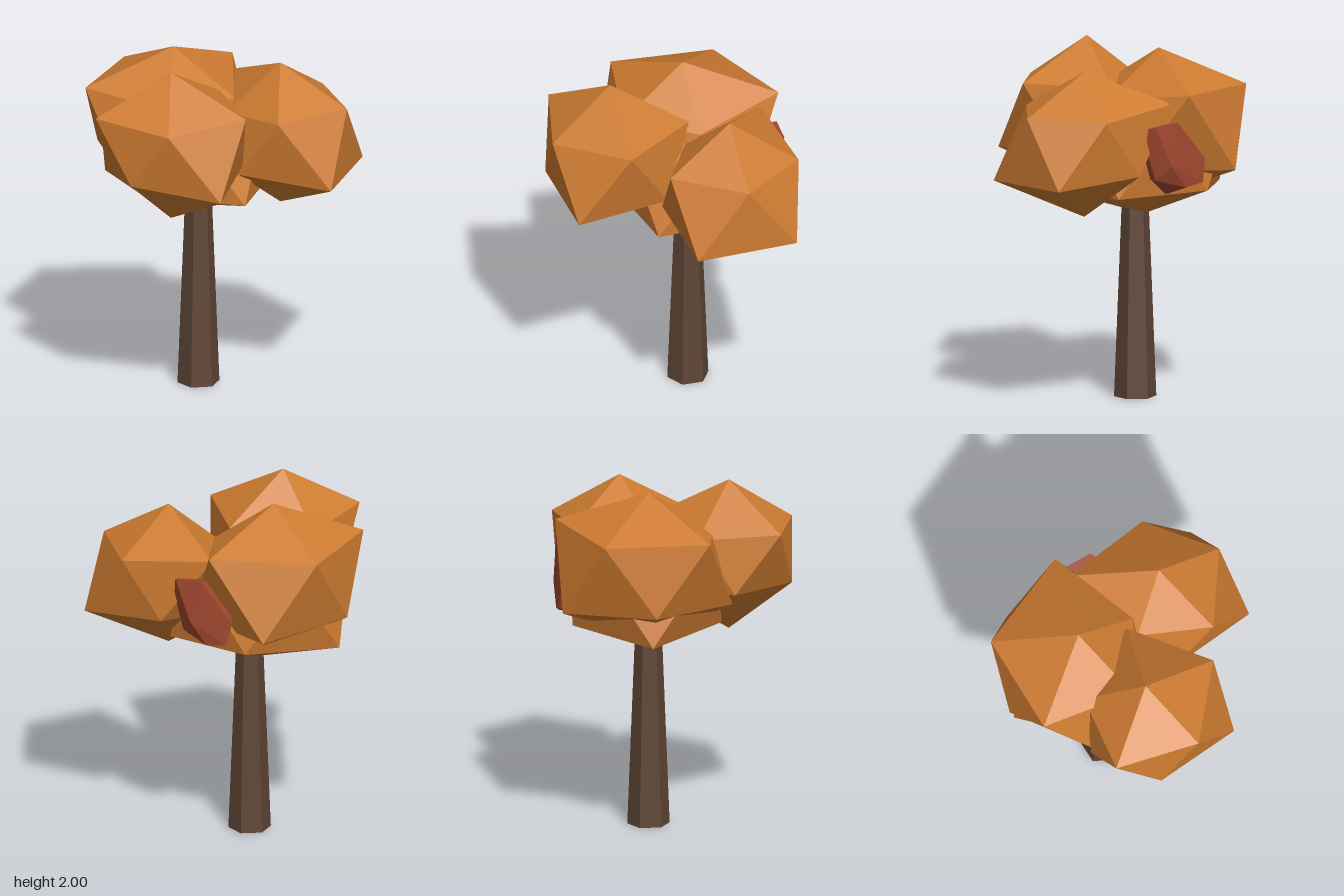
import * as THREE from 'three';
import { ConvexGeometry } from 'three/addons/geometries/ConvexGeometry.js';

const material = (name, color) => {
  const m = new THREE.MeshStandardMaterial({ color });
  m.name = name;
  return m;
};

// Uneven twenty-sided clump: two staggered rings of five between a top and a bottom point
function clumpGeometry({ center: [cx, cy, cz], top, bottom, upper, lower }) {
  const ring = (radii, offset, slope) => radii.map((r, i) => {
    const a = (i + offset) * Math.PI * 2 / 5;
    return [cx + r * Math.cos(a), cy + slope * r, cz + r * Math.sin(a)];
  });
  const u = ring(upper, 0, 0.43), l = ring(lower, 0.5, -0.43);
  const t = [cx, top, cz], b = [cx, bottom, cz];
  const corners = [];
  for (let i = 0; i < 5; i++) {
    const j = (i + 1) % 5;
    corners.push(t, u[j], u[i], u[i], u[j], l[i], l[i], u[j], l[j], b, l[i], l[j]);
  }
  const g = new THREE.BufferGeometry();
  g.setAttribute('position', new THREE.Float32BufferAttribute(corners.flat(), 3));
  g.computeVertexNormals(); // unshared corners give flat faces
  return g;
}

export function createModel() {
  const group = new THREE.Group();
  group.name = 'autumnTree';
  const bark = material('bark brown', 0x5f4636);
  const orange = material('leaf orange', 0xcd7b31);
  const red = material('leaf red', 0xa0462e);
  const add = (name, geometry, mat) => {
    const mesh = new THREE.Mesh(geometry, mat);
    mesh.name = name;
    group.add(mesh);
    return mesh;
  };

  // Tapered six-sided trunk
  const trunkGeometry = new THREE.CylinderGeometry(0.073, 0.12, 1.2, 6).toNonIndexed();
  trunkGeometry.computeVertexNormals();
  add('trunk', trunkGeometry, bark).position.set(-0.13, 0.6, -0.15);

  // Large leaf clumps
  const clumps = {
    frontFoliage: {
      center: [-0.13, 1.577, 0.305], top: 2.0, bottom: 1.13,
      upper: [0.45, 0.389, 0.44, 0.347, 0.445], lower: [0.5, 0.365, 0.36, 0.42, 0.42],
    },
    leftFoliage: {
      center: [0.317, 1.519, -0.27], top: 1.92, bottom: 1.09,
      upper: [0.4, 0.4, 0.32, 0.5, 0.389], lower: [0.51, 0.38, 0.4, 0.38, 0.483],
    },
    backFoliage: {
      center: [-0.285, 1.56, -0.163], top: 1.98, bottom: 1.13,
      upper: [0.365, 0.4, 0.516, 0.494, 0.54], lower: [0.42, 0.48, 0.455, 0.53, 0.48],
    },
    lowerFoliage: {
      center: [-0.17, 1.41, -0.18], top: 1.8, bottom: 1.045,
      upper: [0.42, 0.42, 0.55, 0.48, 0.42], lower: [0.52, 0.45, 0.53, 0.44, 0.48],
    },
  };
  for (const [name, spec] of Object.entries(clumps)) add(name, clumpGeometry(spec), orange);

  // Small red clump wedged between the back clumps
  const redPoints = [
    [0.12, 1.62, -0.61], [0.1, 1.63, -0.65], [-0.06, 1.64, -0.65], [0.13, 1.52, -0.6],
    [0.07, 1.32, -0.61], [-0.1, 1.27, -0.67], [0, 1.4, -0.675], [-0.22, 1.29, -0.67],
    [-0.25, 1.42, -0.65], [-0.05, 1.22, -0.55], [-0.1, 1.6, -0.4], [0, 1.3, -0.4],
  ].map((p) => new THREE.Vector3(...p));
  add('redFoliage', new ConvexGeometry(redPoints), red);

  return group;
}
